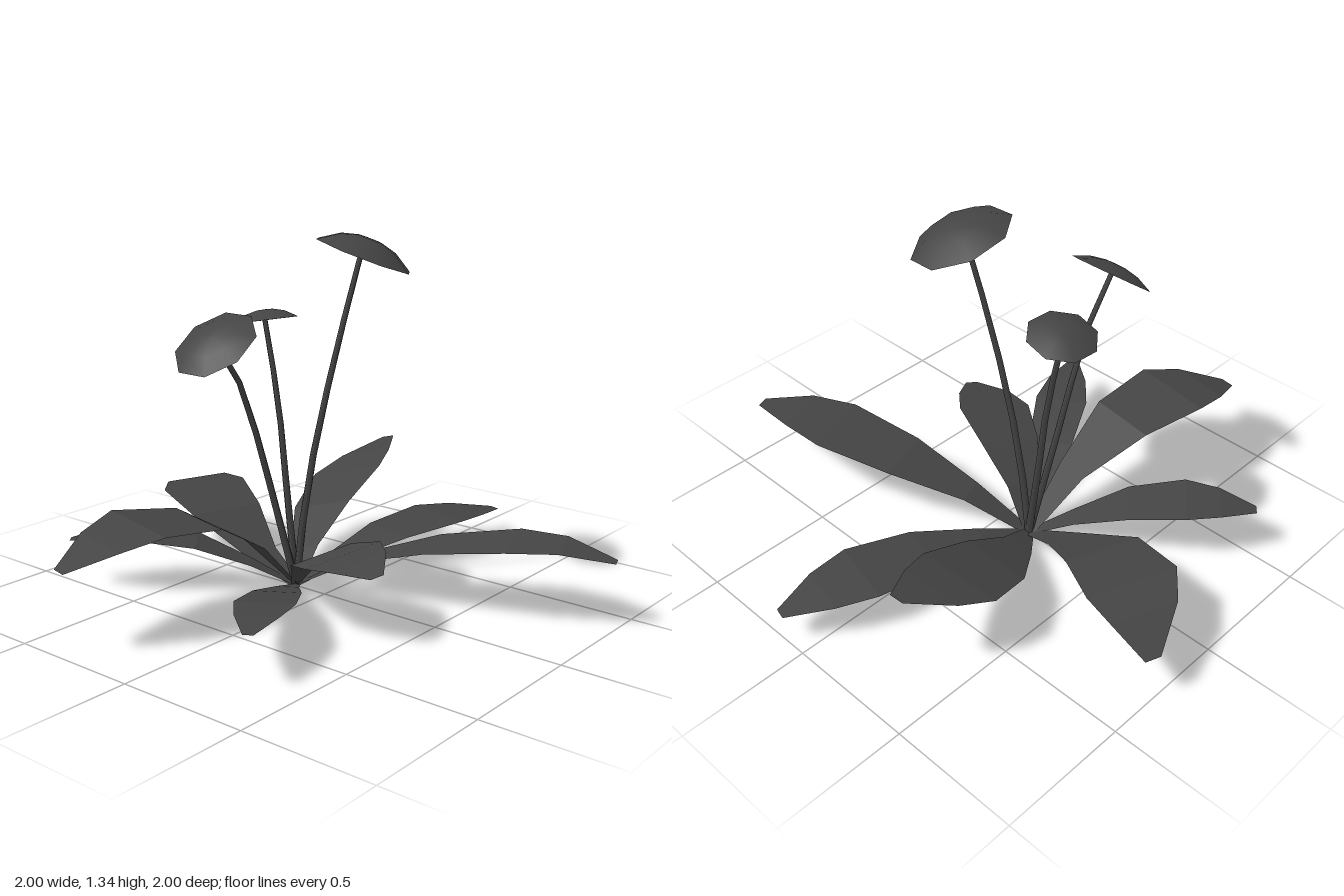
import * as THREE from 'three';

const BASE = new THREE.Vector3(-0.14, 0.01, 0);
const COLOR = 0x444444;
const leafMaterial = new THREE.MeshStandardMaterial({ color: COLOR, side: THREE.DoubleSide, flatShading: true });
const stemMaterial = new THREE.MeshStandardMaterial({ color: COLOR });
const bloomMaterial = new THREE.MeshStandardMaterial({ color: COLOR, side: THREE.DoubleSide });

// Shared leaf outline: position along the leaf and relative width
const STATIONS = [0, 0.2, 0.44, 0.69, 0.84, 1];
const WIDTHS = [0.14, 0.4, 0.83, 1, 0.73, 0.17];

// Arching blade: heights follow the stations, bend curves it sideways, roll tips its section
function makeLeaf({ tip, half, heights, bend = 0, roll = 0 }) {
  const dx = tip[0] - BASE.x, dz = tip[1] - BASE.z;
  const length = Math.hypot(dx, dz);
  const sx = -dz / length, sz = dx / length;
  const positions = [], indices = [];
  STATIONS.forEach((t, i) => {
    const offset = 4 * t * (1 - t) * bend;
    const y = i === 0 ? BASE.y : heights[i - 1];
    for (const side of [-1, 1]) {
      const w = side * half * WIDTHS[i];
      positions.push(BASE.x + dx * t + sx * (offset + w), y + roll * w, BASE.z + dz * t + sz * (offset + w));
    }
    if (i > 0) {
      const a = 2 * i - 2;
      indices.push(a, a + 1, a + 2, a + 1, a + 3, a + 2);
    }
  });
  const geometry = new THREE.BufferGeometry();
  geometry.setAttribute('position', new THREE.Float32BufferAttribute(positions, 3));
  geometry.setIndex(indices);
  geometry.computeVertexNormals();
  return new THREE.Mesh(geometry, leafMaterial);
}

// Tapering curved stalk
function makeStem(points) {
  const curve = new THREE.CatmullRomCurve3([BASE, ...points.map((p) => new THREE.Vector3(...p))]);
  const rows = 5, sides = 5;
  const geometry = new THREE.TubeGeometry(curve, rows, 1, sides);
  const pos = geometry.attributes.position;
  const v = new THREE.Vector3();
  for (let i = 0; i < pos.count; i++) {
    const t = Math.floor(i / (sides + 1)) / rows;
    const centre = curve.getPointAt(t);
    v.fromBufferAttribute(pos, i).sub(centre).multiplyScalar(0.015 - 0.005 * t).add(centre);
    pos.setXYZ(i, v.x, v.y, v.z);
  }
  return new THREE.Mesh(geometry, stemMaterial);
}

// Shallow eight-sided dome facing along a direction
function makeBloom({ centre, radius, rise, facing, spin }) {
  const profile = [[1, 0], [0.6, 0.7], [0.25, 0.97], [0, 1]]
    .map(([r, h]) => new THREE.Vector2(r * radius, h * rise));
  const geometry = new THREE.LatheGeometry(profile, 8);
  geometry.rotateY(spin);
  const bloom = new THREE.Mesh(geometry, bloomMaterial);
  bloom.position.set(...centre);
  bloom.quaternion.setFromUnitVectors(new THREE.Vector3(0, 1, 0), new THREE.Vector3(...facing).normalize());
  return bloom;
}

const LEAVES = [
  { tip: [0.11, -1.0], half: 0.14, heights: [0.08, 0.135, 0.155, 0.145, 0.12] },
  { tip: [-0.335, -0.84], half: 0.147, heights: [0.1, 0.21, 0.3, 0.345, 0.39], bend: -0.08, roll: 0.25 },
  { tip: [0.99, -0.385], half: 0.145, heights: [0.14, 0.225, 0.275, 0.283, 0.25], bend: -0.03 },
  { tip: [0.462, 0.29], half: 0.145, heights: [0.13, 0.23, 0.28, 0.285, 0.265], bend: 0.03, roll: -0.2 },
  { tip: [0.335, 0.785], half: 0.105, heights: [0.07, 0.135, 0.185, 0.195, 0.19] },
  { tip: [-0.8, 0.535], half: 0.115, heights: [0.1, 0.185, 0.22, 0.215, 0.19] },
  { tip: [-0.99, -0.31], half: 0.178, heights: [0.1, 0.215, 0.26, 0.25, 0.19], bend: -0.093 },
  { tip: [-0.32, 0.985], half: 0.17, heights: [0.22, 0.365, 0.4, 0.365, 0.3], roll: 0.04 },
];

const FLOWERS = [
  {
    name: 'tallFlower', stem: [[-0.09, 0.4, -0.01], [0, 0.85, -0.04], [0.09, 1.29, -0.1]],
    centre: [0.088, 1.265, -0.11], radius: 0.187, rise: 0.065, facing: [0.27, 1, -0.26], spin: 0.2,
  },
  {
    name: 'rightFlower', stem: [[-0.2, 0.4, -0.015], [-0.24, 0.7, -0.02], [-0.31, 1.02, -0.025]],
    centre: [-0.3, 1.005, -0.025], radius: 0.128, rise: 0.04, facing: [-0.2, 1, -0.05], spin: 0.3,
  },
  {
    name: 'frontFlower', stem: [[-0.165, 0.4, 0.105], [-0.165, 0.62, 0.18], [-0.157, 0.85, 0.285], [-0.15, 1.01, 0.41]],
    centre: [-0.145, 0.995, 0.408], radius: 0.158, rise: 0.04, facing: [0, 0.8, 0.6], spin: 0.39,
  },
];

export function createModel() {
  const model = new THREE.Group();
  model.name = 'floweringPlant';

  // Rosette of leaves
  const leaves = new THREE.Group();
  leaves.name = 'leaves';
  LEAVES.forEach((spec, i) => {
    const leaf = makeLeaf(spec);
    leaf.name = `leaf${i + 1}`;
    leaves.add(leaf);
  });
  model.add(leaves);

  // Flowers on their stems
  for (const spec of FLOWERS) {
    const flower = new THREE.Group();
    flower.name = spec.name;
    const stem = makeStem(spec.stem);
    stem.name = 'stem';
    const bloom = makeBloom(spec);
    bloom.name = 'bloom';
    flower.add(stem, bloom);
    model.add(flower);
  }
  return model;
}
